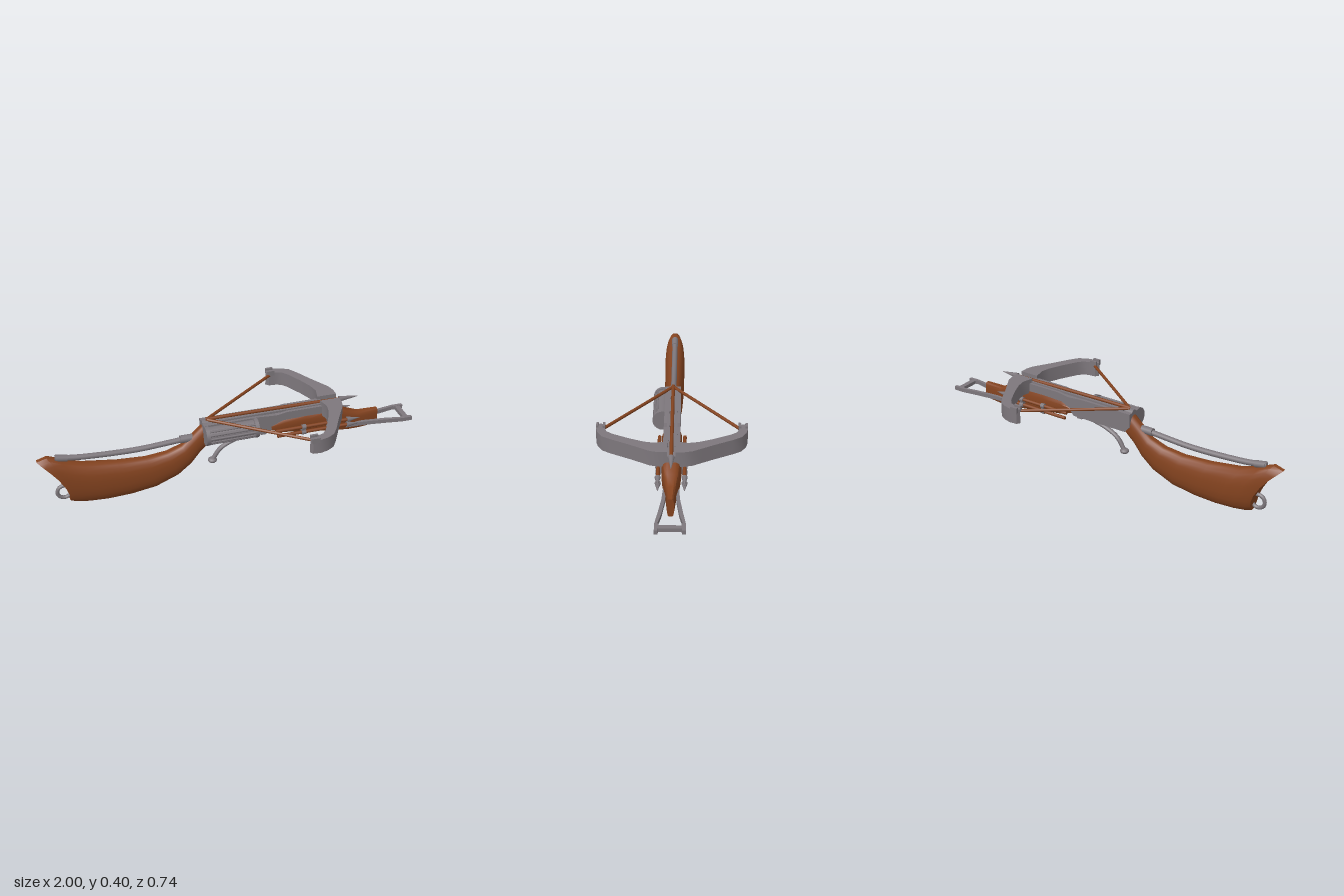
import * as THREE from 'three';
import { toCreasedNormals, mergeVertices } from 'three/addons/utils/BufferGeometryUtils.js';

const wood = new THREE.MeshStandardMaterial({ color: 0x84431f });
wood.name = 'brown wood';
const steel = new THREE.MeshStandardMaterial({ color: 0x7d777c });
steel.name = 'grey steel';

const V = (x, y, z = 0) => new THREE.Vector3(x, y, z);

// Loft along x. Station: [topX, topY, bottomX, bottomY, halfWidth, bow]
function loft(stations, power, sides) {
  const pos = [], idx = [];
  for (const [tx, ty, bx, by, w, bow = 0] of stations) {
    for (let j = 0; j < sides; j++) {
      const a = ((j + 0.5) / sides) * Math.PI * 2;
      const c = Math.sign(Math.cos(a)) * Math.abs(Math.cos(a)) ** power;
      const s = Math.sign(Math.sin(a)) * Math.abs(Math.sin(a)) ** power;
      const t = (1 - c) / 2;
      pos.push(tx + (bx - tx) * t + bow * (1 - c * c), ty + (by - ty) * t, s * w);
    }
  }
  const n = stations.length;
  for (let i = 0; i < n - 1; i++) {
    for (let j = 0; j < sides; j++) {
      const k = (j + 1) % sides, a = i * sides, b = a + sides;
      idx.push(a + j, a + k, b + j, a + k, b + k, b + j);
    }
  }
  // End caps as strips across the width, so a bowed end keeps its curve
  for (let j = 0; j < sides / 2 - 1; j++) {
    const m = sides - 1 - j, e = (n - 1) * sides;
    idx.push(j, m, j + 1, j + 1, m, m - 1);
    idx.push(e + j, e + j + 1, e + m, e + j + 1, e + m - 1, e + m);
  }
  const g = new THREE.BufferGeometry();
  g.setAttribute('position', new THREE.Float32BufferAttribute(pos, 3));
  g.setIndex(idx);
  return toCreasedNormals(mergeVertices(g), 0.7);
}

// Flat outline in x and z, from yLow to yHigh
function plate(points, yLow, yHigh) {
  const shape = new THREE.Shape(points.map(([x, z]) => new THREE.Vector2(x, z)));
  const g = new THREE.ExtrudeGeometry(shape, { depth: yHigh - yLow, bevelEnabled: false });
  return toCreasedNormals(g.rotateX(Math.PI / 2).translate(0, yHigh, 0), 0.6);
}

const tube = (points, r, seg = 24, sides = 10) =>
  new THREE.TubeGeometry(new THREE.CatmullRomCurve3(points), seg, r, sides);

// Cylinder or cone lying along x
const rod = (x0, x1, y, z, r0, r1 = r0, sides = 10) =>
  new THREE.CylinderGeometry(r1, r0, x1 - x0, sides)
    .rotateZ(-Math.PI / 2).translate((x0 + x1) / 2, y, z);

const box = (x0, x1, y0, y1, z0, z1) =>
  new THREE.BoxGeometry(x1 - x0, y1 - y0, z1 - z0)
    .translate((x0 + x1) / 2, (y0 + y1) / 2, (z0 + z1) / 2);

export function createModel() {
  const model = new THREE.Group();
  model.name = 'crossbow';
  const add = (name, geometry, material) => {
    const mesh = new THREE.Mesh(geometry, material);
    mesh.name = name;
    model.add(mesh);
    return mesh;
  };

  // Shoulder stock with a hollowed butt
  add('stock', loft([
    [-1, 0.295, -0.85, 0.03, 0.05, 0.04],
    [-0.95, 0.31, -0.82, 0.018, 0.055, 0.03],
    [-0.88, 0.28, -0.75, 0.007, 0.056, 0.015],
    [-0.78, 0.244, -0.65, 0.002, 0.055],
    [-0.6, 0.217, -0.53, 0.007, 0.052],
    [-0.45, 0.208, -0.4, 0.026, 0.047],
    [-0.34, 0.219, -0.28, 0.075, 0.042],
    [-0.26, 0.247, -0.21, 0.132, 0.038],
    [-0.2, 0.3, -0.16, 0.195, 0.036],
    [-0.14, 0.355, -0.09, 0.258, 0.036],
  ], 0.85, 20), wood);

  // Fore-end below the bow
  add('foreEnd', loft([
    [0.21, 0.3, 0.22, 0.262, 0.042],
    [0.28, 0.325, 0.28, 0.24, 0.05],
    [0.4, 0.33, 0.4, 0.222, 0.05],
    [0.5, 0.33, 0.5, 0.202, 0.05],
    [0.59, 0.335, 0.6, 0.186, 0.045],
    [0.64, 0.3, 0.66, 0.178, 0.036],
    [0.71, 0.275, 0.72, 0.175, 0.025],
    [0.82, 0.275, 0.82, 0.181, 0.016],
  ], 0.5, 12), wood);

  // Receiver: side outline extruded across z
  const side = new THREE.Shape([
    [-0.15, 0.362], [-0.15, 0.29], [-0.12, 0.256], [0.2, 0.256], [0.24, 0.3],
    [0.57, 0.305], [0.57, 0.365], [0.3, 0.365], [0.24, 0.355], [0.14, 0.362],
  ].map(([x, y]) => new THREE.Vector2(x, y)));
  add('receiver', new THREE.ExtrudeGeometry(side, { depth: 0.082, bevelEnabled: false })
    .translate(0, 0, -0.041), steel);
  for (const s of [-1, 1]) {
    add('boltRail', box(-0.1, 0.5, 0.36, 0.371, s * 0.02 - 0.006, s * 0.02 + 0.006), steel);
  }
  add('stringNut', rod(-0.15, -0.11, 0.355, 0, 0.02), steel);

  // Ribbed winding drum on the left side
  add('drum', rod(-0.148, 0.13, 0.31, 0.05, 0.045, 0.045, 20), steel);
  for (const x of [-0.148, 0.112]) add('drumCollar', rod(x, x + 0.02, 0.31, 0.05, 0.052, 0.052, 20), steel);
  for (let i = 0; i < 5; i++) {
    const a = -0.9 + i * 0.45;
    add('drumRib', rod(-0.135, 0.12, 0.31 + Math.sin(a) * 0.045, 0.05 + Math.cos(a) * 0.045, 0.006, 0.006, 6), steel);
  }

  // Bow: one outline mirrored over z
  const half = [[0.59, 0.02], [0.59, 0.06], [0.58, 0.1], [0.55, 0.15], [0.52, 0.2], [0.47, 0.29],
    [0.44, 0.335], [0.4, 0.358], [0.36, 0.368], [0.32, 0.364], [0.31, 0.345], [0.325, 0.328],
    [0.36, 0.325], [0.39, 0.315], [0.415, 0.285], [0.46, 0.2], [0.49, 0.13], [0.5, 0.08], [0.485, 0.02]];
  for (const s of [-1, 1]) {
    add('bowLimb', plate(half.map(([x, z]) => [x, z * s]), 0.31, 0.388), steel);
    for (const z of [0.33, 0.362]) {
      add('tipLug', box(0.315, 0.355, 0.37, 0.399, s * z - 0.006, s * z + 0.006), steel);
    }
    add('bowstring', tube([V(-0.125, 0.374, 0), V(0.1, 0.372, s * 0.166), V(0.335, 0.37, s * 0.338)], 0.008, 8, 8), wood);
  }
  add('bowCentre', box(0.485, 0.59, 0.31, 0.364, -0.021, 0.021), steel);

  // Loaded bolt
  add('loadedBoltShaft', tube([V(-0.13, 0.377), V(0.25, 0.373), V(0.61, 0.366)], 0.009, 6, 8), wood);
  add('loadedBoltHead', rod(0.6, 0.705, 0.366, 0, 0.016, 0.001), steel);

  // Four spare bolts held on the sides by clips
  for (const s of [-1, 1]) {
    const z = s * 0.063;
    for (const [y, start] of [[0.272, 0.23], [0.241, 0.24]]) {
      add('spareBoltShaft', rod(start, 0.64, y, z, 0.009, 0.009, 8), wood);
      add('spareBoltHead', rod(0.625, 0.695, y, z, 0.015, 0.001), steel);
      for (const x of [0.373, 0.515]) add('boltClip', rod(x, x + 0.022, y, z, 0.014), steel);
    }
    for (const x of [0.373, 0.515]) {
      add('clipBridge', box(x, x + 0.022, 0.24, 0.273, s * 0.058 - 0.012, s * 0.058 + 0.012), steel);
    }
  }

  // Foot stirrup
  const arm = [[0.63, 0.022], [0.74, 0.026], [0.86, 0.04], [0.94, 0.056], [0.95, 0.052], [1, 0.054],
    [1, 0.071], [0.945, 0.071], [0.85, 0.057], [0.74, 0.043], [0.63, 0.037]];
  for (const s of [-1, 1]) {
    add('stirrupArm', plate(arm.map(([x, z]) => [x, z * s]), 0.204, 0.225), steel);
  }
  add('stirrupBar', box(0.955, 0.982, 0.204, 0.223, -0.06, 0.06), steel);

  // Trigger lever
  add('triggerLever', tube([V(0.19, 0.247), V(0.11, 0.243), V(0.02, 0.222), V(-0.05, 0.185), V(-0.092, 0.125)], 0.012), steel);
  add('triggerPivot', box(0.165, 0.195, 0.235, 0.262, -0.018, 0.018), steel);
  add('triggerKnob', new THREE.SphereGeometry(0.024, 14, 10).scale(1, 0.6, 1).translate(-0.094, 0.121, 0), steel);

  // Carrying rod above the stock, with end sleeves
  add('stockRod', tube([V(-0.91, 0.297), V(-0.82, 0.281), V(-0.65, 0.268), V(-0.48, 0.264), V(-0.35, 0.271), V(-0.2, 0.282)], 0.015, 30), steel);
  add('rodSleeve', rod(-0.265, -0.19, 0.28, 0, 0.021), steel);
  const rear = add('rodRearSleeve', rod(-0.03, 0.03, 0, 0, 0.018), steel);
  rear.position.set(-0.875, 0.289, 0);
  rear.rotation.z = -0.18;

  // Sling ring on the butt
  const ring = add('slingRing', new THREE.TorusGeometry(0.036, 0.01, 8, 24), steel);
  ring.position.set(-0.875, 0.085, 0);

  return model;
}
